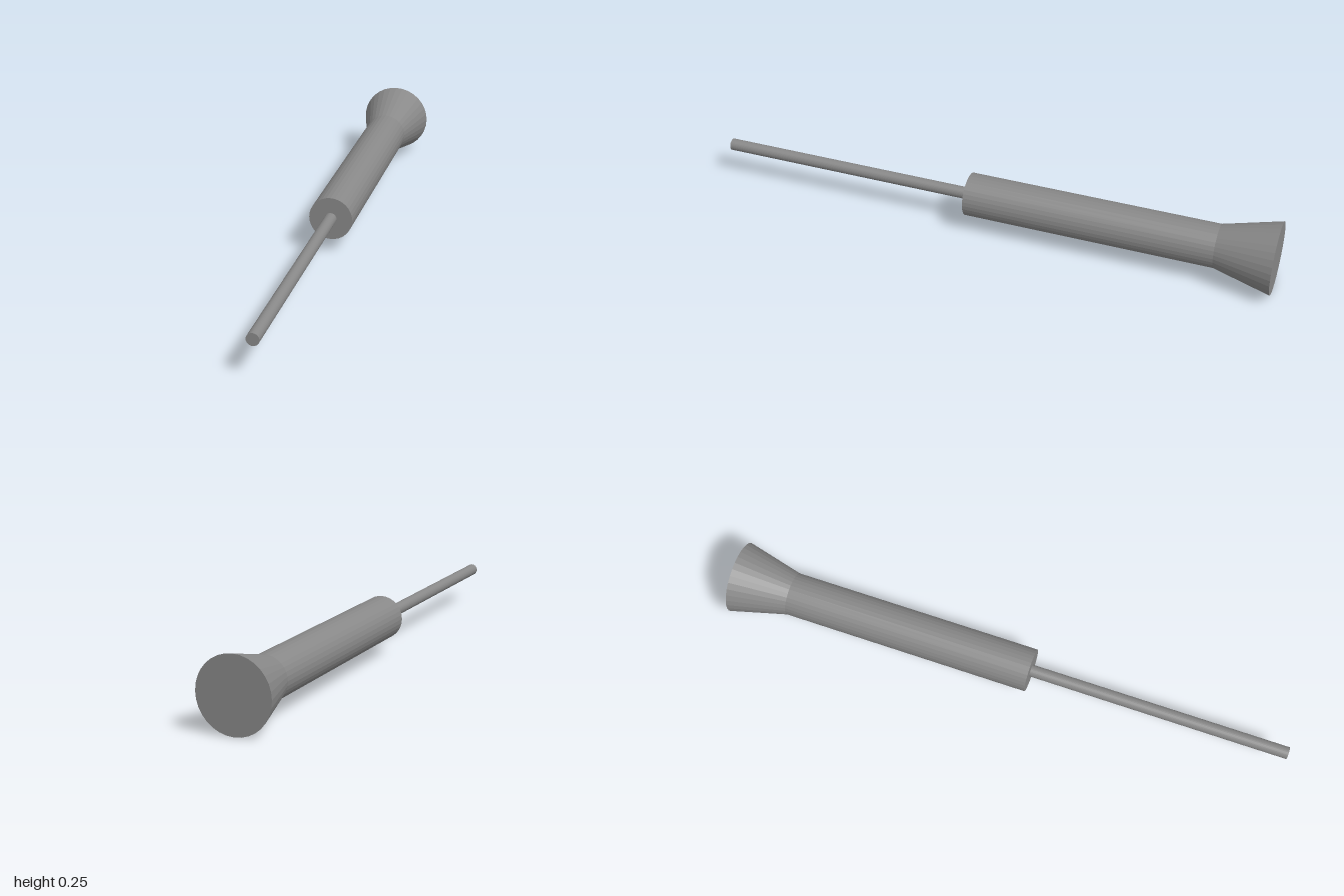
import * as THREE from 'three';

export function createModel() {
  const model = new THREE.Group();
  model.name = 'handTool';
  const grey = new THREE.MeshStandardMaterial({ color: 0x888888, flatShading: true });
  grey.name = 'grey';

  // Round section along z from distance a to b, measured from the butt end
  const addSection = (name, rBack, rFront, a, b, openEnded = false) => {
    const geometry = new THREE.CylinderGeometry(rFront, rBack, b - a, 32, 1, openEnded);
    geometry.rotateX(Math.PI / 2);
    geometry.translate(0, 0, (a + b) / 2);
    const mesh = new THREE.Mesh(geometry, grey);
    mesh.name = name;
    model.add(mesh);
  };

  addSection('flaredButt', 0.1255, 0.0755, 0, 0.2);
  addSection('handle', 0.0755, 0.0755, 0.2, 1.08);
  addSection('rod', 0.021, 0.021, 1.08, 1.997);

  // The whole tool leans slightly toward -x at its tip
  model.rotation.y = -0.0235;
  model.position.set(0, 0.1255, -0.997);

  const root = new THREE.Group();
  root.name = 'model';
  root.add(model);
  return root;
}
